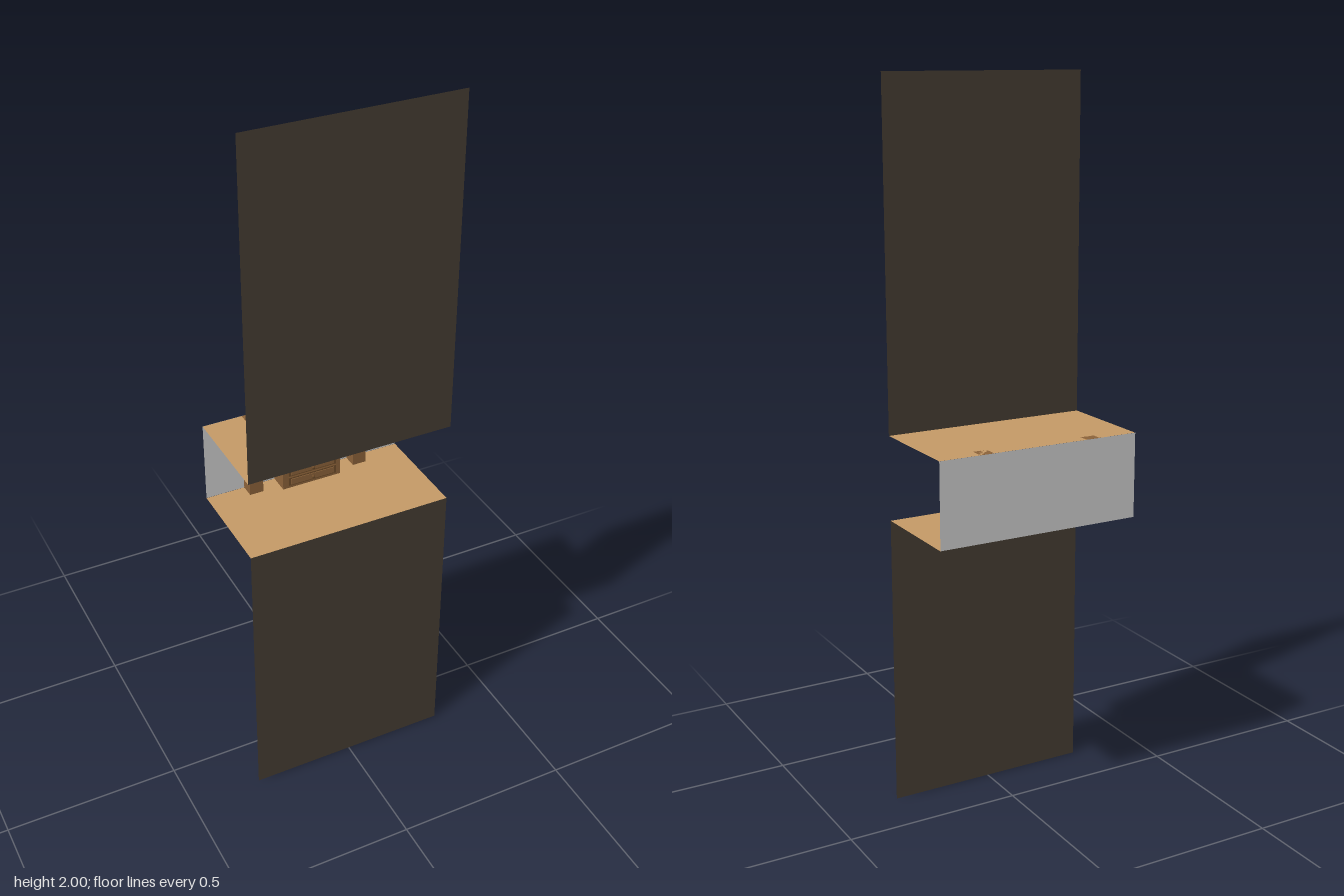
import * as THREE from 'three';

const HALF_W = 0.294, HALF_D = 0.147, FLOOR_Y = 0.826, CEIL_Y = 1.062, TOP_Y = 2;

const material = (color, side = THREE.FrontSide) =>
  new THREE.MeshStandardMaterial({ color, side });

export function createModel() {
  const model = new THREE.Group();
  const wood = material(0x8b6239);
  const darkWood = material(0x6e4c2a);
  const plank = material(0xc49a66, THREE.DoubleSide);
  const facade = material(0x453c32, THREE.DoubleSide);
  const plaster = material(0xcccccc, THREE.DoubleSide);

  const add = (parent, name, geometry, mat, x, y, z) => {
    const mesh = new THREE.Mesh(geometry, mat);
    mesh.name = name;
    mesh.position.set(x, y, z);
    parent.add(mesh);
    return mesh;
  };
  const box = (parent, name, mat, w, h, d, x, y, z) =>
    add(parent, name, new THREE.BoxGeometry(w, h, d), mat, x, y, z);

  // Upright sheet spanning the full width between two heights
  const sheet = (name, mat, y0, y1, z) =>
    add(model, name, new THREE.PlaneGeometry(2 * HALF_W, y1 - y0), mat, 0, (y0 + y1) / 2, z);
  sheet('lowerFrontPanel', facade, 0, FLOOR_Y, HALF_D);
  sheet('upperFrontPanel', facade, CEIL_Y, TOP_Y, HALF_D);
  sheet('backWall', plaster, FLOOR_Y, CEIL_Y, -HALF_D - 0.0005);

  // Floor and ceiling of the recess, open at both ends
  for (const [name, y] of [['floor', FLOOR_Y], ['ceiling', CEIL_Y]]) {
    const slab = new THREE.PlaneGeometry(2 * HALF_W, 2 * HALF_D).rotateX(-Math.PI / 2);
    add(model, name, slab, plank, 0, y, 0);
  }

  // Posts against the back wall
  for (const side of [-1, 1]) {
    box(model, side < 0 ? 'rightPost' : 'leftPost', wood, 0.04, CEIL_Y - FLOOR_Y, 0.04,
      side * 0.159 - 0.002, (FLOOR_Y + CEIL_Y) / 2, -0.127);
  }

  // Chest of drawers between the posts
  const chest = new THREE.Group();
  chest.name = 'chestOfDrawers';
  chest.position.set(-0.001, FLOOR_Y, 0);
  model.add(chest);
  box(chest, 'chestBody', wood, 0.176, 0.072, 0.058, 0, 0.036, -0.118);
  box(chest, 'chestTop', wood, 0.186, 0.008, 0.063, 0, 0.076, -0.1155);
  for (const y of [0.023, 0.054]) {
    box(chest, 'drawerRim', darkWood, 0.144, 0.026, 0.006, 0, y, -0.087);
    box(chest, 'drawerFront', wood, 0.132, 0.018, 0.006, 0, y, -0.085);
    add(chest, 'drawerKnob', new THREE.SphereGeometry(0.005, 16, 12), darkWood, 0, y, -0.079);
  }

  return model;
}
